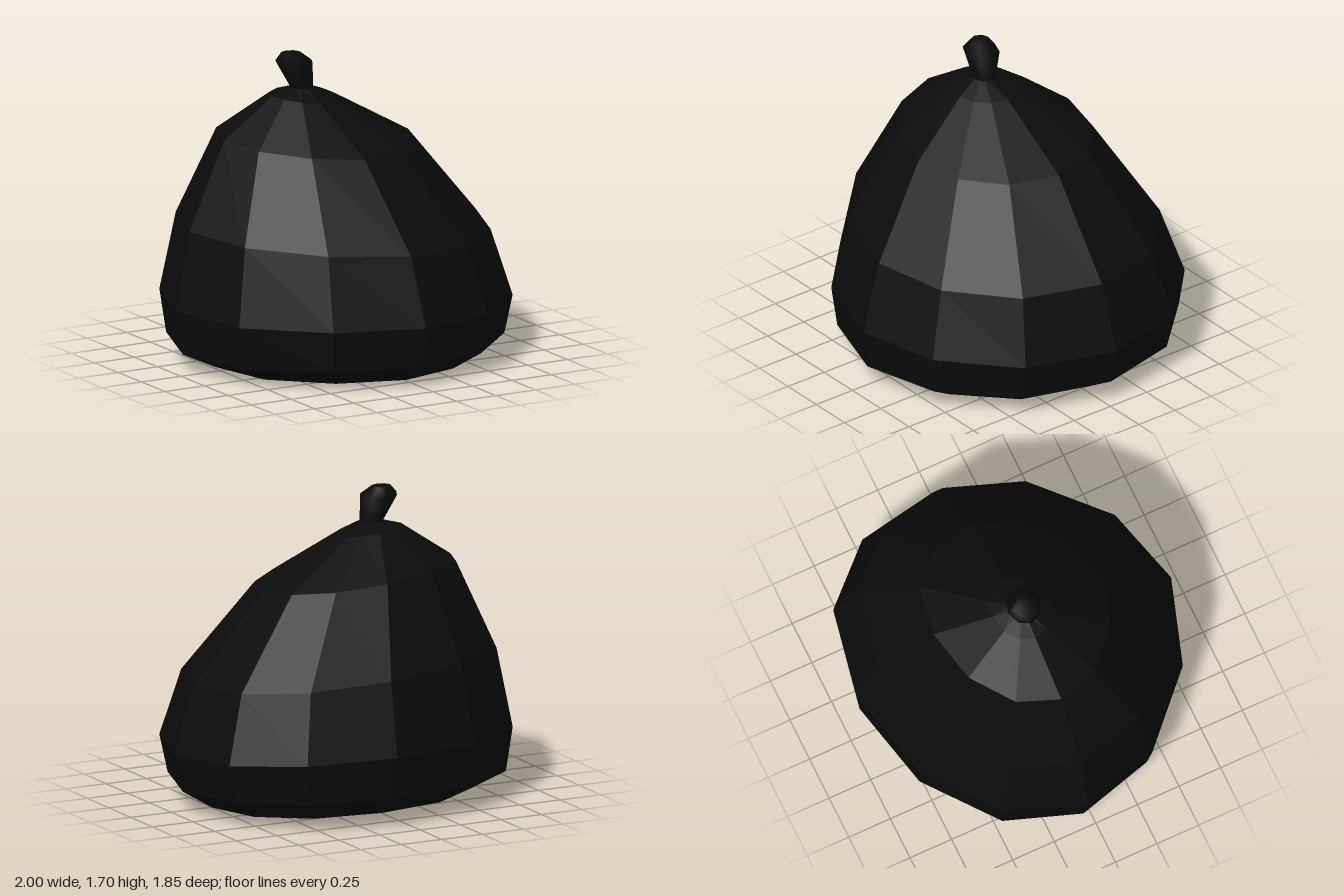
import * as THREE from 'three';

// Loft open at the bottom: each ring scales, tilts and bends a unit outline.
// ring = [xMin, xMax, zMin, zMax, y, tiltX, tiltZ, bendZ]
function loft(outline, rings, capTop) {
  const n = outline.length, pos = [], index = [];
  for (const [x0, x1, z0, z1, y, tx, tz, bend] of rings) {
    for (const [u, v] of outline) {
      pos.push(
        (x0 + x1) / 2 + u * (x1 - x0) / 2,
        y + tx * u + tz * v + bend * v * v,
        (z0 + z1) / 2 + v * (z1 - z0) / 2,
      );
    }
  }
  const top = (rings.length - 1) * n;
  for (let r = 0; r < top; r += n) {
    for (let i = 0; i < n; i++) {
      const a = r + i, b = r + (i + 1) % n;
      index.push(a, a + n, b + n, a, b + n, b);
    }
  }
  if (capTop) {
    for (let i = 1; i < n - 1; i++) index.push(top, top + i + 1, top + i);
  }
  const g = new THREE.BufferGeometry();
  g.setAttribute('position', new THREE.Float32BufferAttribute(pos, 3));
  g.setIndex(index);
  g.computeVertexNormals();
  return g;
}

export function createModel() {
  const group = new THREE.Group();
  group.name = 'tiedSack';
  const color = 0x0b0b0b;

  // uneven twelve-sided outline of the sack, starting at the back
  const sackOutline = [
    [0.1, -0.92], [0.6, -0.82], [0.91, -0.5], [1, -0.04], [0.83, 0.45], [0.46, 0.8],
    [0, 0.92], [-0.49, 0.76], [-0.87, 0.4], [-1, -0.05], [-0.85, -0.48], [-0.44, -0.8],
  ].map(([x, z]) => [x, z / 0.92]);

  // sagging body with an open underside, leaning towards the off-centre neck
  const body = new THREE.Mesh(loft(sackOutline, [
    [-0.75, 0.77, -0.72, 0.7, 0.01, 0, -0.022, 0.015],
    [-0.955, 0.95, -0.905, 0.895, 0.112, 0.0075, -0.025, 0.028],
    [-1, 1, -0.925, 0.925, 0.34, -0.01, -0.03, 0.03],
    [-0.92, 0.88, -0.8, 0.8, 0.745, -0.045, -0.04, 0.015],
    [-0.69, 0.47, -0.53, 0.46, 1.23, -0.04, -0.037, 0.006],
    [-0.38, 0.01, -0.23, 0.11, 1.464, -0.015, -0.013, 0],
    [-0.265, -0.135, -0.125, 0, 1.512, 0, 0, 0],
  ], false), new THREE.MeshStandardMaterial({ color, flatShading: true, side: THREE.DoubleSide }));
  body.name = 'sackBody';
  group.add(body);

  // smooth gathered tuft flaring above the neck
  const circle = Array.from({ length: 8 }, (_, i) => {
    const a = -Math.PI / 2 + i * Math.PI / 4;
    return [Math.cos(a), Math.sin(a)];
  });
  const tuft = new THREE.Mesh(loft(circle, [
    [-0.265, -0.135, -0.125, 0, 1.51, 0, 0, 0],
    [-0.35, -0.13, -0.17, 0.02, 1.656, -0.004, 0.002, 0],
    [-0.31, -0.2, -0.135, -0.03, 1.705, 0, 0, 0],
  ], true), new THREE.MeshStandardMaterial({ color, side: THREE.DoubleSide }));
  tuft.name = 'gatheredTop';
  group.add(tuft);

  return group;
}
